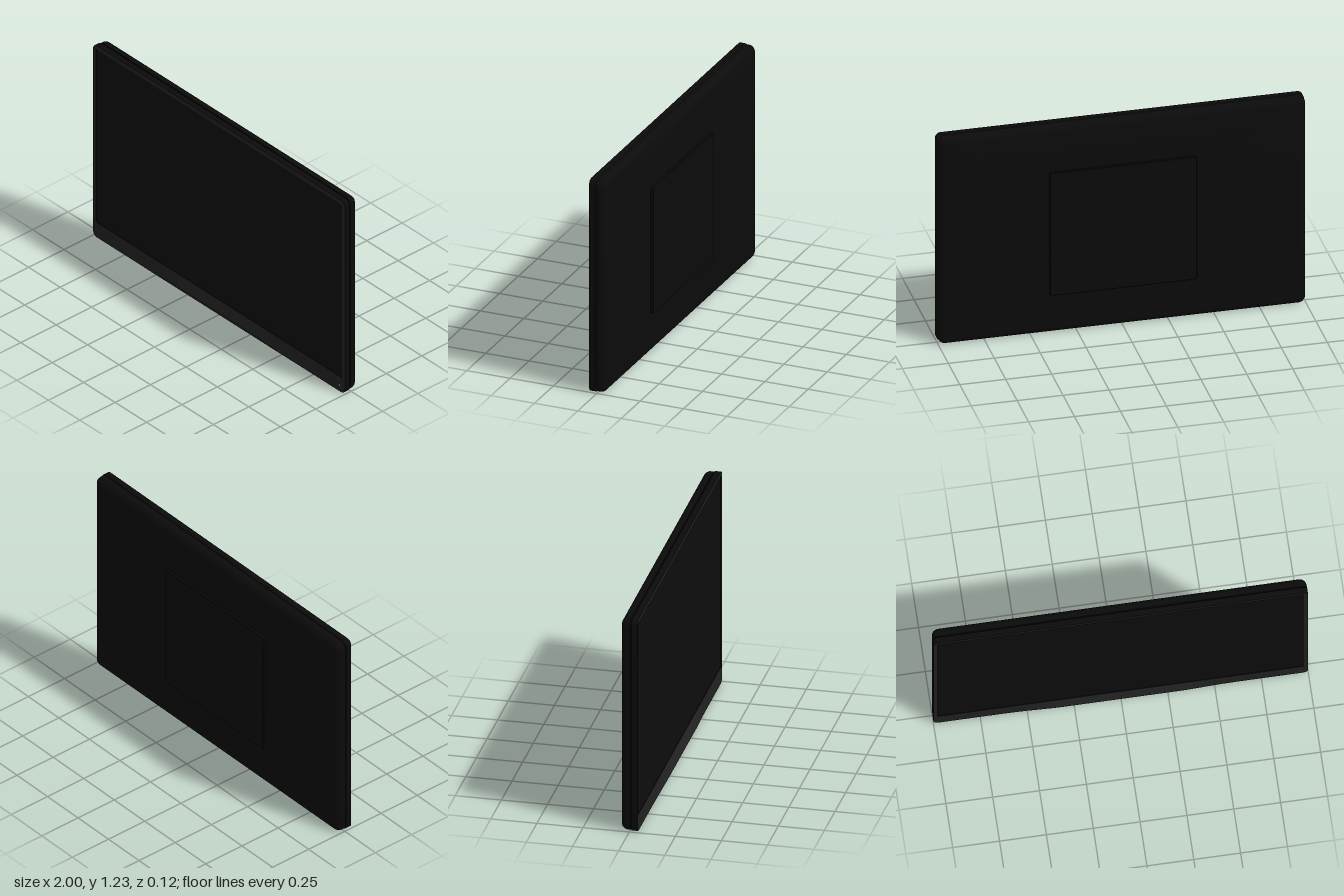
import * as THREE from 'three';
import { toCreasedNormals } from 'three/addons/utils/BufferGeometryUtils.js';

const H = 1.225, FRONT = 0.044;
const mat = (color, side = THREE.FrontSide) => new THREE.MeshStandardMaterial({ color, side });

function add(group, name, geometry, material, x = 0, y = 0, z = 0) {
  const mesh = new THREE.Mesh(geometry, material);
  mesh.name = name;
  mesh.position.set(x, y, z);
  group.add(mesh);
  return mesh;
}

// Rounded rectangle centred on the origin
function roundedRect(w, h, r) {
  const s = new THREE.Shape(), x = w / 2 - r, y = h / 2 - r;
  s.absarc(x, -y, r, -Math.PI / 2, 0);
  s.absarc(x, y, r, 0, Math.PI / 2);
  s.absarc(-x, y, r, Math.PI / 2, Math.PI);
  s.absarc(-x, -y, r, Math.PI, Math.PI * 1.5);
  s.closePath();
  return s;
}

// Capped solid from rounded rectangles; sections are [inset, z] from front to back
function loft(w, h, r, sections) {
  const pos = [], index = [], steps = 8, n = 4 * (steps + 1);
  for (const [inset, z] of sections) {
    const rr = Math.max(r - inset, 0.004);
    const cx = w / 2 - inset - rr, cy = h / 2 - inset - rr;
    for (let c = 0; c < 4; c++) {
      const sx = c < 2 ? 1 : -1, sy = c === 1 || c === 2 ? 1 : -1;
      for (let k = 0; k <= steps; k++) {
        const a = (c - 1 + k / steps) * Math.PI / 2;
        pos.push(sx * cx + rr * Math.cos(a), sy * cy + rr * Math.sin(a), z);
      }
    }
  }
  const m = sections.length;
  pos.push(0, 0, sections[0][1], 0, 0, sections[m - 1][1]);
  for (let i = 0; i < n; i++) {
    const i2 = (i + 1) % n;
    for (let j = 0; j < m - 1; j++) {
      const a = j * n + i, b = a + n, c = (j + 1) * n + i2, d = j * n + i2;
      index.push(a, b, c, a, c, d);
    }
    index.push(m * n, i, i2, m * n + 1, (m - 1) * n + i2, (m - 1) * n + i);
  }
  const g = new THREE.BufferGeometry();
  g.setAttribute('position', new THREE.Float32BufferAttribute(pos, 3));
  g.setIndex(index);
  return toCreasedNormals(g, 0.6);
}

// Strip across x between a lower and an upper edge
function ribbon(low, high) {
  const pos = [], index = [], n = 64;
  for (let i = 0; i <= n; i++) {
    const x = -0.6 + 1.2 * i / n;
    pos.push(x, ...low(x), x, ...high(x));
    if (i < n) index.push(2 * i, 2 * i + 2, 2 * i + 3, 2 * i, 2 * i + 3, 2 * i + 1);
  }
  const g = new THREE.BufferGeometry();
  g.setAttribute('position', new THREE.Float32BufferAttribute(pos, 3));
  g.setIndex(index);
  g.computeVertexNormals();
  return g;
}

export function createModel() {
  const model = new THREE.Group();
  model.name = 'monitor';
  const black = mat(0x0b0b0b), bezel = mat(0x222222), lipMat = mat(0x222222, THREE.DoubleSide);

  // Front frame with the screen opening
  const frameShape = roundedRect(2, H, 0.03);
  const x = 0.978, y0 = 0.095 - H / 2, y1 = 1.2 - H / 2;
  frameShape.holes.push(new THREE.Path().moveTo(-x, y0).lineTo(-x, y1).lineTo(x, y1).lineTo(x, y0).closePath());
  const frame = new THREE.ExtrudeGeometry(frameShape, { depth: FRONT - 0.011, bevelEnabled: false, curveSegments: 8 });
  add(model, 'frontFrame', toCreasedNormals(frame, 0.6), [bezel, black], 0, H / 2, 0.011);
  add(model, 'screen', new THREE.BoxGeometry(2 * x, y1 - y0, 0.03), mat(0x0d0d0d), 0, (y0 + y1 + H) / 2, FRONT - 0.018);

  // Recessed seam between frame and housing
  add(model, 'seam', loft(1.984, H - 0.016, 0.03, [[0, 0.014], [0, 0]]), black, 0, H / 2, 0);

  // Back housing with rounded rear edge
  const R = 0.036, sections = [[0, 0.005]];
  for (let i = 0; i <= 8; i++) {
    const a = i / 8 * Math.PI / 2;
    sections.push([R * (1 - Math.cos(a)), -0.047 + R - R * Math.sin(a)]);
  }
  add(model, 'backHousing', loft(2, H, 0.04, sections), black, 0, H / 2, 0);

  // Rear cover plate with side vents
  add(model, 'rearPlate', loft(0.8, 0.73, 0.012, [[0, -0.04], [0, -0.0605], [0.002, -0.0625]]), black, 0, 0.595, 0);
  const vent = new THREE.BoxGeometry(0.002, 0.012, 0.006);
  for (const side of [-1, 1]) {
    for (let i = 0; i < 20; i++) add(model, 'sideVent', vent, mat(0x040404), side * 0.4, 0.31 + i * 0.03, -0.055);
  }

  // Swelling lip along the bottom of the frame
  const swell = (px) => 1 - THREE.MathUtils.smoothstep(Math.abs(px), 0.3, 0.58);
  const bottom = () => [0, FRONT + 0.0005];
  const ridge = (px) => [0.03 * swell(px), FRONT + 0.0005 + 0.018 * swell(px)];
  const under = (t, off) => (px) => [t * 0.03 * swell(px), FRONT + 0.0005 + t * 0.018 * swell(px) + off];
  add(model, 'lipFace', ribbon(ridge, () => [0.095, FRONT + 0.0005]), lipMat);
  add(model, 'lipUnderside', ribbon(bottom, ridge), mat(0x333333, THREE.DoubleSide));
  add(model, 'lipSlot', ribbon(under(0.2, 0.0006), under(0.4, 0.0006)), mat(0x0b0b0b, THREE.DoubleSide));

  // Power light
  add(model, 'powerLight', new THREE.BoxGeometry(0.008, 0.006, 0.002), mat(0xcccccc), 0.957, 0.04, FRONT);
  return model;
}
